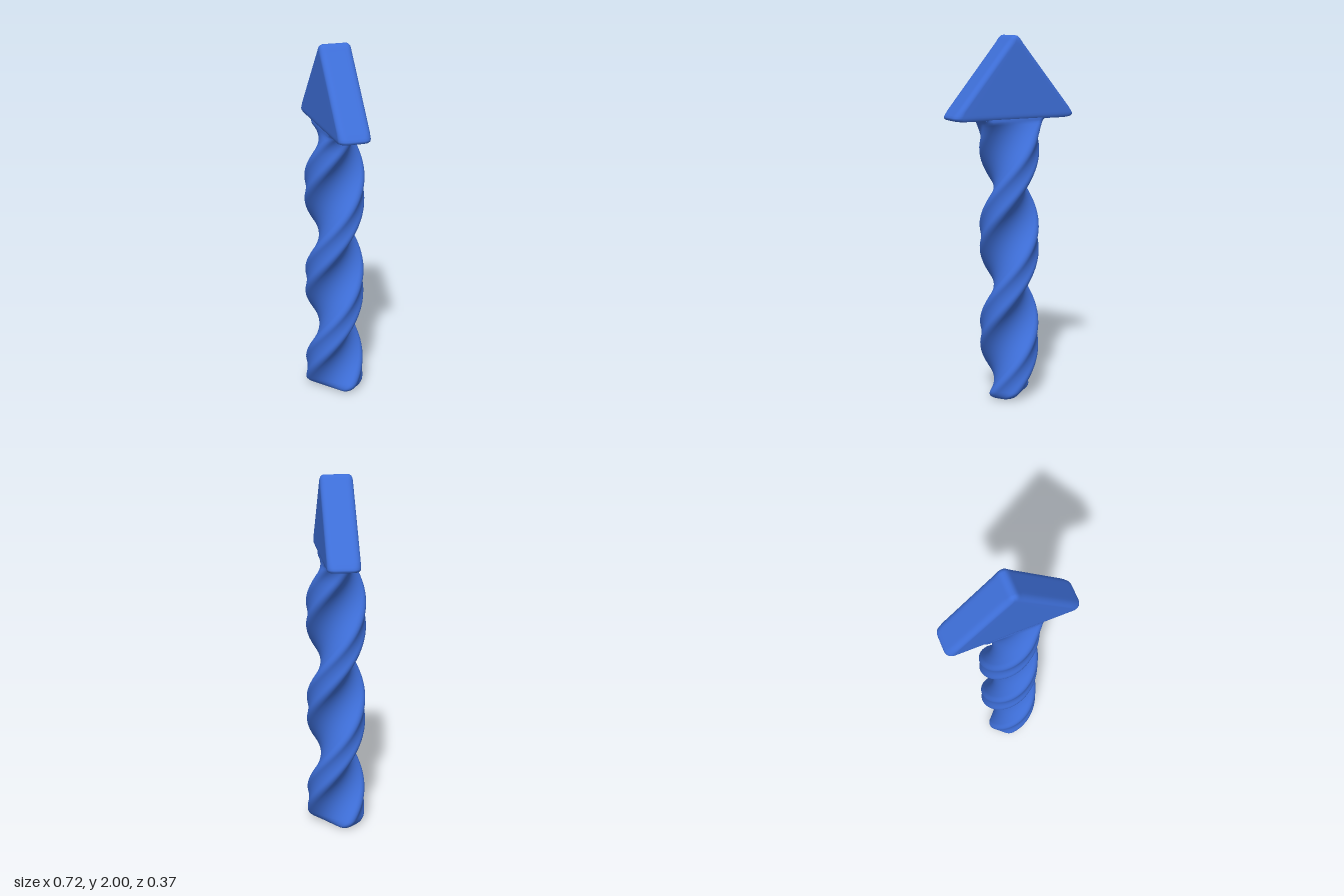
import * as THREE from 'three';

const HEAD_ANGLE = 0.32;             // heading of the arrowhead around y
const TWIST = Math.PI / 0.55;        // radians of twist per unit of height
const TWIST_TOP = 1.54;              // twist stops where the head begins

// Rounded rectangle, half sizes w and t, always with the same point count
function section(w, t, radius) {
  const r = Math.min(radius, w, t);
  const pts = [];
  const corners = [[1, 1], [-1, 1], [-1, -1], [1, -1]];
  corners.forEach(([su, sv], k) => {
    for (let i = 0; i <= 6; i++) {
      const a = (k + i / 6) * Math.PI / 2;
      pts.push([su * (w - r) + r * Math.cos(a), sv * (t - r) + r * Math.sin(a)]);
    }
    // Points along the straight side to the next corner
    const [nu, nv] = corners[(k + 1) % 4];
    const [lu, lv] = pts[pts.length - 1];
    const a = (k + 1) * Math.PI / 2;
    const eu = nu * (w - r) + r * Math.cos(a), ev = nv * (t - r) + r * Math.sin(a);
    for (let i = 1; i < 8; i++) pts.push([lu + (eu - lu) * i / 8, lv + (ev - lv) * i / 8]);
  });
  return pts;
}

// Skin through rows of [y, halfWidth, halfThickness, cornerRadius]
function loft(rows) {
  const pos = [], index = [];
  let n = 0;
  rows.forEach(([y, w, t, r]) => {
    const a = HEAD_ANGLE + Math.max(0, TWIST_TOP - y) * TWIST;
    const c = Math.cos(a), s = Math.sin(a);
    const pts = section(w, t, r);
    n = pts.length;
    pts.forEach(([u, v]) => pos.push(c * u - s * v, y, s * u + c * v));
  });
  for (let j = 0; j < rows.length - 1; j++) {
    for (let i = 0; i < n; i++) {
      const a = j * n + i, b = j * n + (i + 1) % n;
      index.push(a, a + n, b, b, a + n, b + n);
    }
  }
  const geo = new THREE.BufferGeometry();
  geo.setAttribute('position', new THREE.Float32BufferAttribute(pos, 3));
  geo.setIndex(index);
  geo.computeVertexNormals();
  return geo;
}

export function createModel() {
  const group = new THREE.Group();
  const blue = new THREE.MeshStandardMaterial({ color: 0x3e6fd9 });
  blue.name = 'blue';

  const W = 0.155, T = 0.086, R = 0.042;

  // Shaft: flat foot with a rounded rim
  const shaftRows = [[0, 0, 0, 0], [0, W - 0.06, T - 0.045, 0.03]];
  for (let i = 0; i <= 6; i++) {
    const a = i / 6 * Math.PI / 2, inset = 0.04 * (1 - Math.sin(a));
    shaftRows.push([0.05 * (1 - Math.cos(a)), W - inset, T - inset, R]);
  }
  // Twisted length
  for (let i = 1; i <= 80; i++) shaftRows.push([0.05 + 1.4 * i / 80, W, T, R]);
  // Flare into the underside of the head
  for (let i = 1; i <= 10; i++) {
    const a = i / 10 * Math.PI / 2;
    shaftRows.push([1.45 + 0.11 * Math.sin(a), W + 0.055 * (1 - Math.cos(a)), T - 0.004 * i / 10, R]);
  }
  const shaft = new THREE.Mesh(loft(shaftRows), blue);
  shaft.name = 'twistedShaft';
  group.add(shaft);

  // Arrowhead: underside, rounded barbs, straight slopes, rounded tip
  const headRows = [
    [1.56, 0.21, 0.082, R], [1.557, 0.26, 0.08, R], [1.555, 0.31, 0.079, R],
    [1.556, 0.34, 0.08, R], [1.56, 0.356, 0.083, R], [1.567, 0.364, 0.086, R],
    [1.576, 0.364, 0.088, R], [1.588, 0.357, 0.088, R],
  ];
  for (let i = 1; i <= 16; i++) {
    const k = i / 16;
    headRows.push([1.588 + 0.372 * k, 0.357 - 0.308 * k, 0.088, 0.035]);
  }
  headRows.push(
    [1.975, 0.037, 0.087, 0.03], [1.986, 0.028, 0.084, 0.025], [1.994, 0.02, 0.078, 0.018],
    [1.999, 0.011, 0.07, 0.01], [2, 0.004, 0.062, 0.004], [2, 0, 0, 0],
  );
  const head = new THREE.Mesh(loft(headRows), blue);
  head.name = 'arrowHead';
  group.add(head);

  return group;
}
